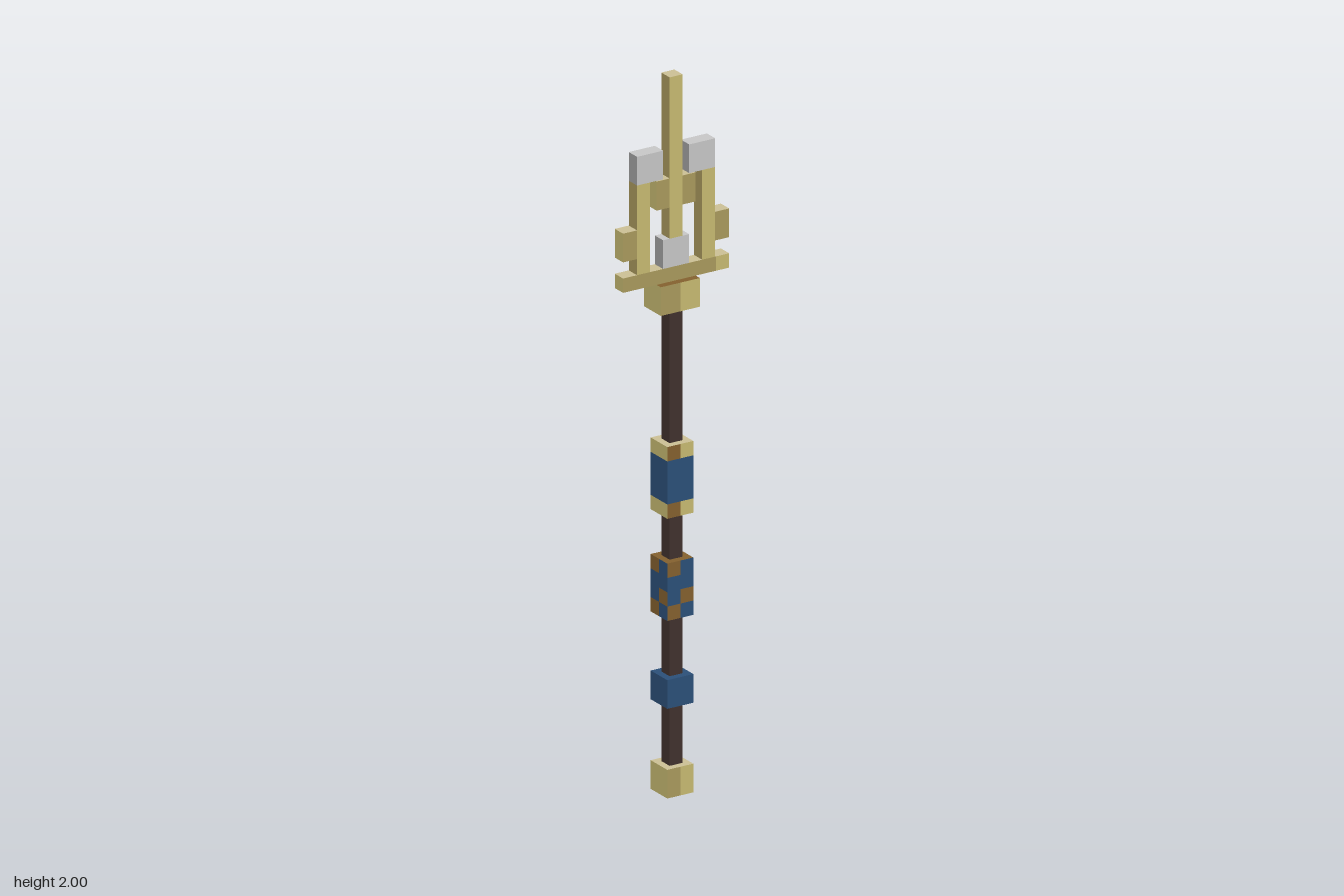
import * as THREE from 'three';

const mat = (name, color) => {
  const m = new THREE.MeshStandardMaterial({ color });
  m.name = name;
  return m;
};

export function createModel() {
  const group = new THREE.Group();
  group.name = 'trident';

  const paleGold = mat('pale gold', 0xcbbf94);
  const gold = mat('gold', 0xc5b870);
  const oldGold = mat('old gold', 0xa8985c);
  const bronze = mat('bronze', 0x83602e);
  const silver = mat('silver', 0xc6c6c6);
  const darkSilver = mat('dark silver', 0xa2a2a2);
  const blue = mat('blue', 0x2b4f78);
  const wood = mat('dark wood', 0x40312d);
  const palette = [paleGold, gold, oldGold, bronze, silver, darkSilver, blue, wood];

  // Box from x0..x1, y0..y1 whose faces are cut into cells;
  // paint(face, column, row) picks each cell's colour (row 0 is the top).
  function block(name, x0, x1, y0, y1, depth, [sx, sy, sz], paint) {
    const geo = new THREE.BoxGeometry(x1 - x0, y1 - y0, depth, sx, sy, sz);
    geo.clearGroups();
    let start = 0;
    const faces = { right: [sz, sy], left: [sz, sy], top: [sx, sz], bottom: [sx, sz], front: [sx, sy], back: [sx, sy] };
    for (const [face, [cols, rows]] of Object.entries(faces)) {
      for (let r = 0; r < rows; r++) {
        for (let c = 0; c < cols; c++, start += 6) {
          geo.addGroup(start, 6, palette.indexOf(paint(face, c, r)));
        }
      }
    }
    const mesh = new THREE.Mesh(geo, palette);
    mesh.name = name;
    mesh.position.set((x0 + x1) / 2, (y0 + y1) / 2, 0);
    group.add(mesh);
  }

  const one = [1, 1, 1];
  const plain = (m) => () => m;

  // Gold casting: bronze on the right and underneath, split front
  const cast = (face, c) => ({
    right: bronze, left: gold, top: paleGold, bottom: bronze,
    front: c === 0 ? oldGold : gold, back: gold,
  })[face];
  const bar = (face) => ({
    right: bronze, left: gold, top: paleGold, bottom: bronze, front: oldGold, back: gold,
  })[face];
  const prong = (face) => ({
    right: oldGold, left: oldGold, top: paleGold, bottom: bronze, front: gold, back: gold,
  })[face];
  const steel = (face) => (face === 'right' || face === 'left' ? darkSilver : silver);

  // Shaft and fittings
  block('shaft', -0.02, 0.02, 0.08, 1.35, 0.04, one, plain(wood));
  block('pommel', -0.04, 0.04, 0, 0.08, 0.08, [2, 1, 1], cast);
  block('lowerBand', -0.04, 0.04, 0.25, 0.33, 0.08, one, plain(blue));

  // Middle wrap: bronze ribbon winding over blue
  const ribbon = ['10', '00', '01', '10'];
  block('middleWrap', -0.04, 0.04, 0.495, 0.655, 0.08, [2, 4, 2], (face, c, r) => {
    if (face === 'top' || face === 'bottom') return bronze;
    return ribbon[r][c] === '1' ? bronze : blue;
  });

  // Upper grip: blue with metal rims
  block('upperGrip', -0.04, 0.04, 0.78, 0.98, 0.08, [2, 5, 1], (face, c, r) => {
    if (face === 'top') return paleGold;
    if (face === 'bottom') return bronze;
    if (r > 0 && r < 4) return blue;
    if (face === 'front') return c === 0 ? bronze : gold;
    return face === 'right' ? bronze : gold;
  });

  // Head: collar, crossbar and centre prong
  block('collar', -0.06, 0.06, 1.35, 1.43, 0.08, [2, 1, 1], (face, c) =>
    face === 'top' ? bronze : cast(face, c));
  block('crossbar', -0.163, 0.163, 1.43, 1.47, 0.04, [8, 1, 1], (face, c) =>
    face === 'front' && c === 7 ? gold : bar(face));
  block('prongBase', -0.04, 0.04, 1.47, 1.55, 0.04, one, steel);
  block('centreProng', -0.02, 0.02, 1.55, 2, 0.04, one, prong);

  // Mirrored parts of the head
  for (const [side, s] of [['left', 1], ['right', -1]]) {
    const pair = (name, a, b, y0, y1, paint) =>
      block(side + name, Math.min(s * a, s * b), Math.max(s * a, s * b), y0, y1, 0.04, one, paint);
    pair('SideProng', 0.08, 0.12, 1.47, 1.72, prong);
    pair('ProngTip', 0.04, 0.12, 1.72, 1.8, steel);
    pair('Barb', 0.12, 0.163, 1.515, 1.595, bar);
    pair('CentreLug', 0.02, 0.06, 1.637, 1.718, bar);
  }
  return group;
}
